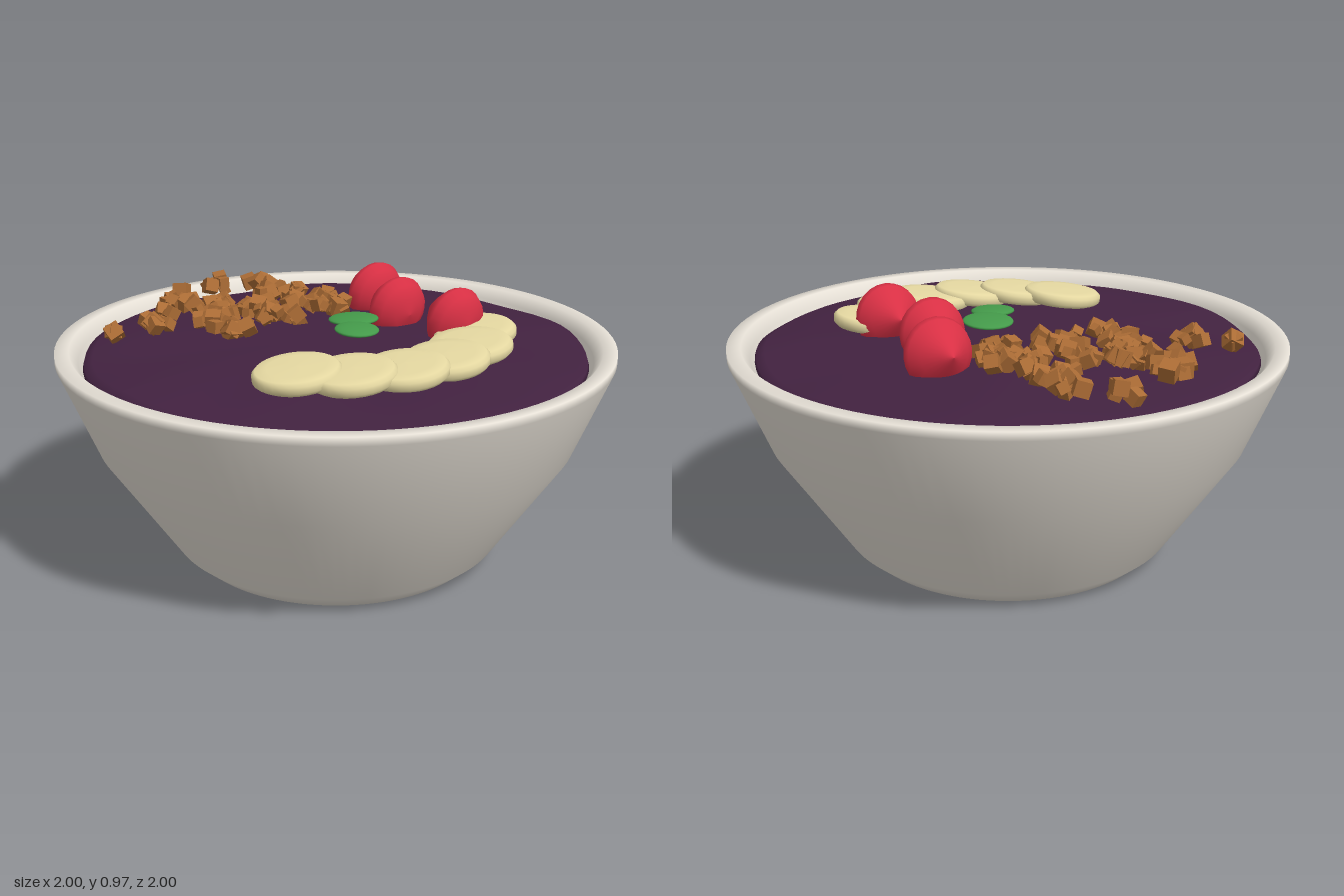
import * as THREE from 'three';

const mat = (name, color) => {
  const m = new THREE.MeshStandardMaterial({ color });
  m.name = name;
  return m;
};
const lathe = (pts, segments) =>
  new THREE.LatheGeometry(pts.map(([x, y]) => new THREE.Vector2(x, y)), segments);

export function createModel() {
  const group = new THREE.Group();
  const ceramic = mat('ceramic', 0xe6e0d6);
  const puree = mat('purple puree', 0x422240);
  const cream = mat('banana cream', 0xe6d9a2);
  const red = mat('berry red', 0xd83044);
  const green = mat('leaf green', 0x449a4a);
  const brown = mat('granola brown', 0xab6c35);

  const add = (name, geometry, material, x = 0, y = 0, z = 0, parent = group) => {
    const m = new THREE.Mesh(geometry, material);
    m.name = name;
    m.position.set(x, y, z);
    parent.add(m);
    return m;
  };
  const addGroup = (name) => {
    const g = new THREE.Group();
    g.name = name;
    group.add(g);
    return g;
  };
  let seed = 7;
  const rand = () => (seed = (seed * 16807) % 2147483647) / 2147483647;

  // Bowl: outer wall, rim and inner wall
  add('bowl', lathe([
    [0, 0], [0.54, 0], [0.61, 0.06], [0.87, 0.45], [1, 0.77], [1, 0.8],
    [0.95, 0.8], [0.92, 0.76], [0.8, 0.45], [0.55, 0.1], [0, 0.08],
  ], 96), ceramic);

  // Filling: gently domed disc with uneven edge
  const fill = lathe([
    [0.86, 0.64], [0.905, 0.74], [0.9, 0.757], [0.87, 0.77], [0.7, 0.785],
    [0.45, 0.797], [0.2, 0.803], [0, 0.803],
  ], 72);
  const p = fill.attributes.position;
  for (let i = 0; i < p.count; i++) {
    const x = p.getX(i), z = p.getZ(i), r = Math.hypot(x, z), a = Math.atan2(z, x);
    p.setY(i, p.getY(i) + r * r * (0.009 * Math.sin(5 * a + 1) + 0.005 * Math.sin(9 * a)));
  }
  fill.computeVertexNormals();
  add('filling', fill, puree);

  // Banana slices: shingled along an arc
  const bananas = addGroup('bananaSlices');
  const slice = lathe([
    [0, -0.025], [0.138, -0.025], [0.15, -0.012], [0.15, 0.01], [0.138, 0.022], [0.1, 0.025], [0, 0.027],
  ], 32);
  for (let i = 0; i < 6; i++) {
    const a = (-52 + i * 20.8) * Math.PI / 180;
    const s = add('bananaSlice', slice, cream, 0.5 * Math.cos(a), 0.823, 0.5 * Math.sin(a), bananas);
    s.rotation.x = 0.11;
  }

  // Berries: blunt cones lying on their sides
  const berries = addGroup('berries');
  const berry = lathe([
    [0, -0.11], [0.035, -0.085], [0.085, -0.035], [0.115, 0.0], [0.122, 0.025], [0.105, 0.06], [0.06, 0.09], [0, 0.1],
  ], 24);
  for (const [x, z] of [[-0.28, -0.39], [-0.05, -0.31], [0.2, -0.375]]) {
    const b = add('berry', berry, red, x, 0.855, z, berries);
    b.rotation.z = -Math.PI / 2 - 0.15;
  }

  // Leaves: flattened ellipsoids
  const leaf = new THREE.SphereGeometry(1, 24, 12);
  for (const [x, z, r, tilt] of [[0, -0.08, 0.092, 0.05], [0.115, -0.005, 0.08, -0.05]]) {
    const l = add('leaf', leaf, green, x, 0.855, z);
    l.scale.set(r, 0.015, r);
    l.rotation.z = tilt;
  }

  // Granola: loose clusters of small cubes (x, z, count, spread)
  const granola = addGroup('granola');
  const cube = new THREE.BoxGeometry(1, 1, 1);
  const clusters = [
    [-0.4, -0.17, 18, 0.1], [-0.27, -0.17, 15, 0.08], [-0.55, -0.12, 12, 0.09], [-0.7, -0.15, 7, 0.06],
    [-0.42, 0.06, 9, 0.07], [-0.27, 0.08, 15, 0.09], [-0.4, 0.25, 14, 0.1], [-0.26, 0.28, 8, 0.07],
    [-0.52, 0.2, 10, 0.07], [-0.67, 0.22, 9, 0.09], [-0.8, 0.01, 5, 0.05], [-0.6, 0.36, 4, 0.08],
    [-0.45, 0.5, 6, 0.06], [-0.49, 0.62, 2, 0.02],
  ];
  for (const [cx, cz, count, spread] of clusters) {
    for (let i = 0; i < count; i++) {
      const a = rand() * Math.PI * 2, r = spread * Math.sqrt(rand());
      const c = add('granolaPiece', cube, brown, cx + r * Math.cos(a), 0.815 + rand() * 0.035, cz + r * Math.sin(a), granola);
      c.scale.setScalar(0.03 + rand() * 0.028);
      c.rotation.set(rand() * 3, rand() * 3, rand() * 3);
    }
  }
  return group;
}
